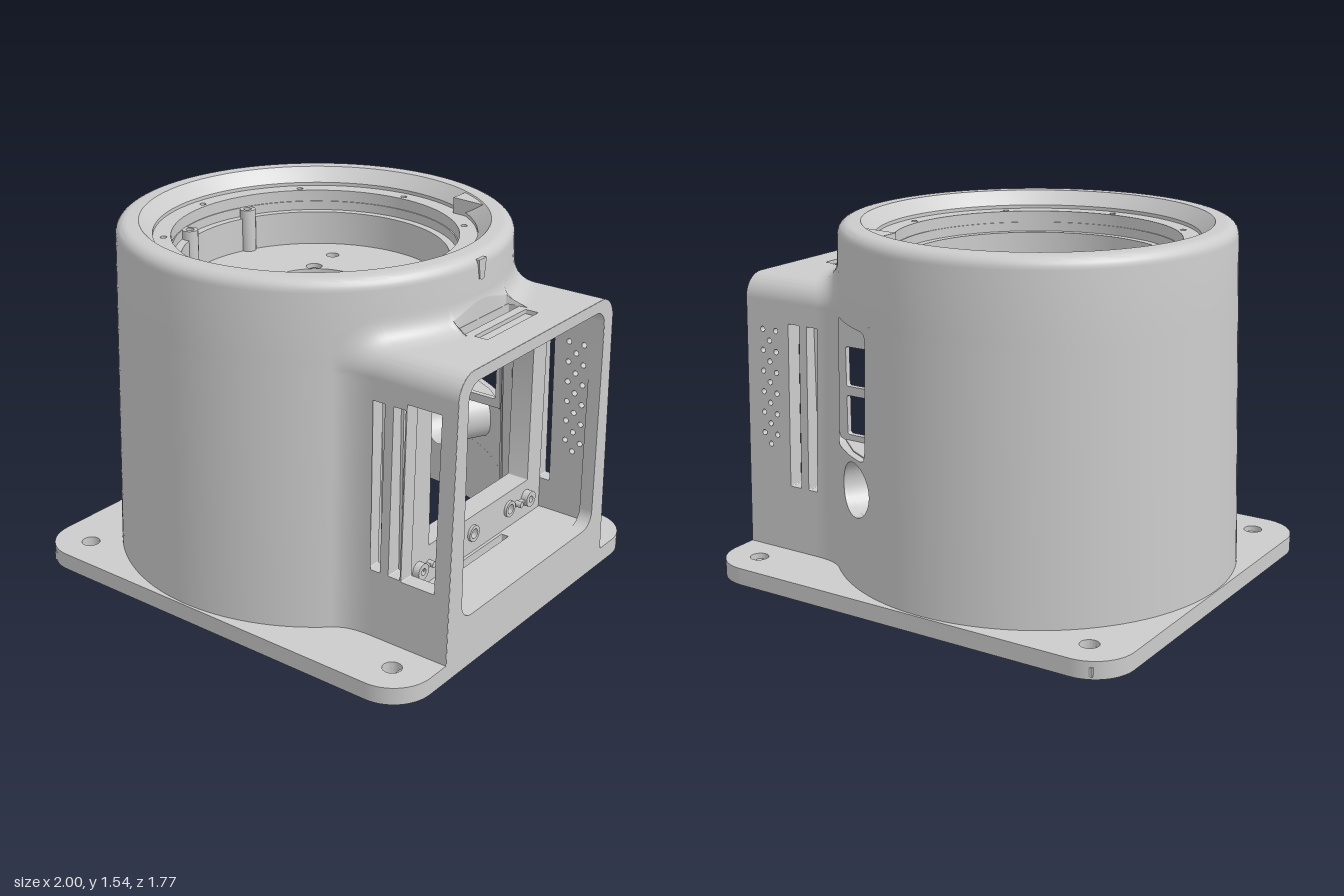
import * as THREE from 'three';
import { toCreasedNormals } from 'three/addons/utils/BufferGeometryUtils.js';
import { ParametricGeometry } from 'three/addons/geometries/ParametricGeometry.js';

const CX = -0.12;                                   // axis of the round body
const RAD = Math.PI / 180;
const outerR = (y) => 0.877 - 0.03 * y;             // tapered body radius
const halfW = (y) => 0.602 - 0.03 * y;              // tapered half width of the side box
const WALL = 0.04;

export function createModel() {
  const model = new THREE.Group();
  const mat = new THREE.MeshStandardMaterial({ color: 0xcccccc, side: THREE.DoubleSide });

  const add = (name, geo, x = 0, y = 0, z = 0) => {
    const mesh = new THREE.Mesh(geo, mat);
    mesh.name = name;
    mesh.position.set(x, y, z);
    model.add(mesh);
    return mesh;
  };
  const box = (name, x0, x1, y0, y1, z0, z1) => add(name,
    new THREE.BoxGeometry(x1 - x0, y1 - y0, z1 - z0), (x0 + x1) / 2, (y0 + y1) / 2, (z0 + z1) / 2);
  const post = (name, x, z, y0, y1, r) => add(name, new THREE.CylinderGeometry(r, r, y1 - y0, 20), x, (y0 + y1) / 2, z);

  // Outlines
  const rect = (x0, x1, y0, y1, r = 0.004) => new THREE.Shape()
    .moveTo(x0 + r, y0).absarc(x1 - r, y0 + r, r, -Math.PI / 2, 0)
    .absarc(x1 - r, y1 - r, r, 0, Math.PI / 2)
    .absarc(x0 + r, y1 - r, r, Math.PI / 2, Math.PI)
    .absarc(x0 + r, y0 + r, r, Math.PI, Math.PI * 1.5);
  const circle = (x, y, r) => new THREE.Shape().absarc(x, y, r, 0, Math.PI * 2);
  const polygon = (...pts) => new THREE.Shape(pts.map(([x, y]) => new THREE.Vector2(x, y)));
  const extrude = (shape, holes, depth, seg = 8) => {
    shape.holes.push(...holes);
    return toCreasedNormals(new THREE.ExtrudeGeometry(shape, { depth, bevelEnabled: false, curveSegments: seg }), 0.5);
  };
  // Horizontal slab: shape is (x, z), hanging down from its top
  const slab = (name, shape, holes, top, depth, seg) =>
    add(name, extrude(shape, holes, depth, seg).rotateX(Math.PI / 2), 0, top);
  // Upright slab across x: shape is (-z, y)
  const upright = (name, shape, holes, x, depth, seg) =>
    add(name, extrude(shape, holes, depth, seg).rotateY(Math.PI / 2), x);
  const surface = (name, fn, nu, nv, x = 0) => {
    const geo = new ParametricGeometry(fn, nu, nv);
    geo.computeVertexNormals();
    return add(name, geo, x);
  };

  // ---- Base plate: top sheet, skirt, ribs and screw bosses
  const screws = [-0.82, 0.84].flatMap((x) => [-0.735, 0.735].map((z) => [x, z]));
  const plate = () => rect(-1, 1, -0.885, 0.885, 0.18);
  slab('basePlate', plate(), [circle(CX, 0, 0.845), rect(0.735, 0.77, -0.2, 0.2),
    ...screws.map(([x, z]) => circle(x, z, 0.04))], 0.075, 0.025, 36);
  slab('baseSkirt', plate(), [rect(-0.985, 0.97, -0.87, 0.87, 0.165)], 0.05, 0.05, 12);
  for (const [x, z] of screws) slab('screwBoss', circle(x, z, 0.08), [circle(x, z, 0.04)], 0.05, 0.045, 12);
  const clear = (d) => Math.sqrt(Math.max(0, 0.86 ** 2 - d * d));
  for (const s of [-1, 1]) {
    for (let i = 0; i < 12; i++) {
      const x = -0.9 + i * 0.16;
      const z = Math.max(clear(x - CX), x > 0.5 ? 0.58 : 0);
      if (z < 0.83) box('baseRib', x - 0.01, x + 0.01, 0.012, 0.05, Math.min(s * z, s * 0.87), Math.max(s * z, s * 0.87));
    }
    for (const z of [0.5, 0.63, 0.76]) {
      box('baseRib', -0.985, CX - clear(z), 0.012, 0.05, s * z - 0.01, s * z + 0.01);
      if (z > 0.6) box('baseRib', CX + clear(z), 0.975, 0.012, 0.05, s * z - 0.01, s * z + 0.01);
    }
  }

  // ---- Round body
  const lathe = (name, pts, a0 = 0, a1 = 360) => add(name, toCreasedNormals(new THREE.LatheGeometry(
    pts.map(([r, y]) => new THREE.Vector2(r, y)), Math.round((a1 - a0) / 2.5), a0 * RAD, (a1 - a0) * RAD), 0.5), CX);
  const wall = (a0, a1, y0, y1) => lathe('bodyWall', [[outerR(y0) - WALL, y0], [outerR(y0), y0],
    [outerR(y1), y1], [outerR(y1) - WALL, y1], [outerR(y0) - WALL, y0]], a0, a1);
  wall(165, 422.5, 0, 1.2);
  wall(122.5, 130, 0, 1.2);
  wall(130, 165, 0, 0.32);

  // Wall patch pierced by a round or square-ish hole
  const piercedWall = (name, a0, a1, y0, y1, hole) => {
    const point = (u, k, r, out) => {
      const c = Math.cos(u * 2 * Math.PI), s = Math.sin(u * 2 * Math.PI);
      const m = Math.max(Math.abs(c), Math.abs(s));
      const n = (Math.abs(c) ** hole.n + Math.abs(s) ** hole.n) ** (1 / hole.n);
      const mix = (p, q) => p + (q - p) * k;
      const a = mix((a0 + a1) / 2 + c / m * (a1 - a0) / 2, hole.a + c / n * hole.da) * RAD;
      const y = mix((y0 + y1) / 2 + s / m * (y1 - y0) / 2, hole.y + s / n * hole.dy);
      const R = outerR(y) - r * WALL;
      out.set(R * Math.sin(a), y, R * Math.cos(a));
    };
    surface(name, (u, v, o) => point(u, v, 0, o), 80, 4, CX);
    surface(name, (u, v, o) => point(u, 1, v, o), 80, 1, CX);
    surface(name, (u, v, o) => point(u, v, 1, o), 80, 4, CX);
  };
  piercedWall('cableHoleWall', 130, 165, 0.32, 0.62, { a: 152, da: 8.3, y: 0.495, dy: 0.115, n: 2 });
  piercedWall('portWindowWall', 130, 165, 0.62, 1.2, { a: 145.7, da: 12.3, y: 0.9, dy: 0.27, n: 16 });

  // Round cable duct running inward from its hole
  const duct = add('cableDuct', new THREE.CylinderGeometry(0.118, 0.118, 0.25, 32, 1, true).rotateX(Math.PI / 2),
    CX + 0.72 * Math.sin(152 * RAD), 0.495, 0.72 * Math.cos(152 * RAD));
  duct.rotation.y = 152 * RAD;

  // Corner-shaped port recess behind the window
  add('portFace', extrude(rect(0.17, 0.5, 0.62, 1.18), [rect(0.31, 0.45, 0.66, 0.83, 0.01), rect(0.31, 0.45, 0.87, 1.04, 0.01)], 0.025),
    0, 0, -0.585);
  box('recessSide', 0.17, 0.195, 0.62, 1.18, -0.775, -0.57);
  for (const top of [0.635, 1.185])
    slab('recessCap', polygon([0.18, -0.57], [0.48, -0.57], [0.34, -0.69], [0.18, -0.775]), [], top, 0.015);

  // Rounded rim and stepped bowl
  const rim = [[0.565, 1.18], [outerR(1.2) - WALL, 1.2], [outerR(1.2), 1.2]];
  for (let i = 0; i <= 6; i++) {
    const a = i / 6 * Math.PI / 2;
    rim.push([0.782 + 0.05 * Math.cos(a), 1.495 + 0.05 * Math.sin(a)]);
  }
  rim.push([0.735, 1.545], [0.725, 1.535], [0.68, 1.485], [0.68, 1.42], [0.6, 1.42], [0.6, 1.38], [0.565, 1.38], [0.565, 1.18]);
  lathe('bodyRim', rim);
  const ledgeHoles = Array.from({ length: 8 }, (_, i) =>
    circle(CX + 0.635 * Math.cos(i * Math.PI / 4), 0.635 * Math.sin(i * Math.PI / 4), 0.014));
  slab('bowlLedge', circle(CX, 0, 0.68), [circle(CX, 0, 0.605), ...ledgeHoles], 1.47, 0.05, 40);
  const blind = [[-0.28, 0.19, 0.035], [-0.28, -0.19, 0.035], [-0.31, -0.36, 0.028], [0.08, 0.35, 0.028]];
  slab('bowlFloor', circle(CX, 0, 0.57), [circle(CX, 0, 0.213), rect(0.17, 0.29, -0.11, 0.11, 0.015),
    circle(-0.66, 0.19, 0.018), circle(-0.66, -0.19, 0.018), ...blind.map(([x, z, r]) => circle(x, z, r))], 1.23, 0.05, 40);
  for (const [x, z, r] of blind) {
    post('blindScrewSeat', x, z, 1.13, 1.205, r + 0.012);
    slab('blindScrewRing', circle(x, z, r * 0.62), [circle(x, z, r * 0.35)], 1.215, 0.012);
  }
  slab('floorLug', polygon([-0.165, 0.255], [-0.075, 0.255], [-0.06, 0.345], [-0.18, 0.345]), [circle(CX, 0.3, 0.03)], 1.29, 0.06);
  slab('rimWedge', polygon([0.19, -0.69], [0.385, -0.575], [0.37, -0.555], [0.19, -0.57]), [], 1.54, 0.2);
  for (const z of [-0.19, 0.19]) {
    slab('bowlBoss', circle(-0.66, z, 0.035), [circle(-0.66, z, 0.018)], 1.42, 0.19);
    post('shortPost', -0.3, z * 1.58, 0.995, 1.2, 0.035);
  }
  for (const [x, z] of [[-0.845, 0], [CX, 0.73], [CX, -0.73]])
    slab('hangingPost', circle(x, z, 0.035), [circle(x, z, 0.016)], 1.21, 0.655);
  upright('alignmentMark', polygon([-0.026, 1.525], [0.026, 1.525], [0.016, 1.445], [0, 1.438], [-0.016, 1.445]), [], 0.69, 0.028);

  // ---- Side box
  const ventHoles = [];
  for (let c = 0; c < 3; c++)
    for (let r = 0; r < 6; r++) ventHoles.push(circle(0.84 + c * 0.036, 1.05 - r * 0.092 - (c === 1 ? 0.046 : 0), 0.012));
  const slot = (x0, x1) => rect(x0, x1, 0.37, 1.09);
  const cheeks = {
    1: [slot(0.61, 0.67), slot(0.71, 0.766), rect(0.772, 0.93, 0.365, 1.115)],
    '-1': [slot(0.61, 0.67), slot(0.71, 0.77), ...ventHoles],
  };
  for (const s of [1, -1]) {
    // Side wall leaning inward with height
    const geo = extrude(rect(0.51, 0.999, 0, 1.18, 0.001), cheeks[s], WALL + 0.03);
    const p = geo.attributes.position;
    for (let i = 0; i < p.count; i++) p.setZ(i, s * (halfW(p.getY(i)) - p.getZ(i)));
    geo.computeVertexNormals();
    add('boxSide', geo);
    const corner = new THREE.Shape().moveTo(0.567, 1.18).absarc(0.467, 1.18, 0.1, 0, Math.PI / 2)
      .lineTo(0.467, 1.23).quadraticCurveTo(0.497, 1.23, 0.497, 1.18);
    upright('boxCorner', corner, [], 0.52, 0.479, 10).scale.z = s;
  }
  slab('boxRoof', rect(0.52, 0.999, -0.467, 0.467, 0.001), [rect(0.72, 0.77, -0.2, 0.2), rect(0.81, 0.87, -0.185, 0.185)], 1.28, 0.05);
  box('roofGrooveBed', 0.805, 0.875, 1.231, 1.262, -0.19, 0.19);
  slab('boxFloor', rect(0.6, 0.97, -0.53, 0.53), [rect(0.735, 0.77, -0.2, 0.2)], 0.229, 0.04);
  const frame = new THREE.Shape().moveTo(-0.6, 0.002).lineTo(0.6, 0.002)
    .absarc(0.467, 1.18, 0.099, 0, Math.PI / 2).absarc(-0.467, 1.18, 0.099, Math.PI / 2, Math.PI);
  upright('boxFrame', frame, [rect(-0.5, 0.5, 0.23, 1.23, 0.07)], 0.94, 0.06, 10);

  // Inner panel with window, keyhole fixings and screw holes
  const PX = 0.722;
  const fixings = [-0.405, 0.405].flatMap((a) => [0.32, 1.13].map((y) => [a, y]));
  upright('innerPanel', rect(-0.52, 0.52, 0, 1.23), [rect(-0.33, 0.415, 0.4, 1.04),
    circle(-0.01, 0.32, 0.022), circle(0.27, 0.32, 0.022), ...fixings.map(([a, y]) => circle(a, y, 0.015))], PX - 0.1, 0.1);
  for (const [a, y] of fixings) {
    upright('fixingBoss', circle(a, y, 0.036), [circle(a, y, 0.015)], PX, 0.03);
    const b = a - Math.sign(a) * 0.075;
    upright('fixingPin', circle(b, y, 0.014), [], PX, 0.03);
    box('fixingBar', PX, PX + 0.02, y - 0.006, y + 0.006, -(a + b) / 2 - 0.025, -(a + b) / 2 + 0.025);
  }
  for (const a of [-0.01, 0.27]) upright('screwCollar', circle(a, 0.32, 0.037), [circle(a, 0.32, 0.022)], PX, 0.012);

  // Concave fillet blending the box outline into the round body
  const bodyX = (y, z) => CX + Math.sqrt(outerR(y) ** 2 - z * z);
  const blend = (u, v, out) => {
    const s = u <= 0.5 ? 1 : -1;
    const t = 2 * Math.min(u, 1 - u);
    let z, y, nz = 0, ny = 1;
    if (t < 0.6) { y = 0.075 + (t / 0.6) * 1.105; z = halfW(y); nz = 1; ny = 0; }
    else if (t < 0.8) {
      const a = (t - 0.6) / 0.2 * Math.PI / 2;
      nz = Math.cos(a); ny = Math.sin(a);
      z = 0.467 + 0.1 * nz; y = 1.18 + 0.1 * ny;
    } else { z = 0.467 * (1 - t) / 0.2; y = 1.281; }
    const d = 0.05 + 0.06 * ny;
    const x = bodyX(y, z), zb = z + d * nz, yb = y + d * ny, xb = bodyX(yb, zb);
    const px = (k) => (1 - k) ** 2 * (x + 0.11) + 2 * k * (1 - k) * x + k * k * xb;
    let k = v;
    if (t > 0.8 && z < 0.2) {                     // cut upright along the roof slot
      let lo = 0, hi = 1;
      for (let i = 0; i < 20; i++) { const m = (lo + hi) / 2; if (px(m) > 0.72) lo = m; else hi = m; }
      k = hi + (1 - hi) * v;
    }
    const foot = v < 0.001 ? 0 : k * k;           // first row stays on the box surface
    out.set(px(k), y + foot * d * ny, s * (z + foot * d * nz));
  };
  surface('boxFillet', blend, 320, 12);

  return model;
}
